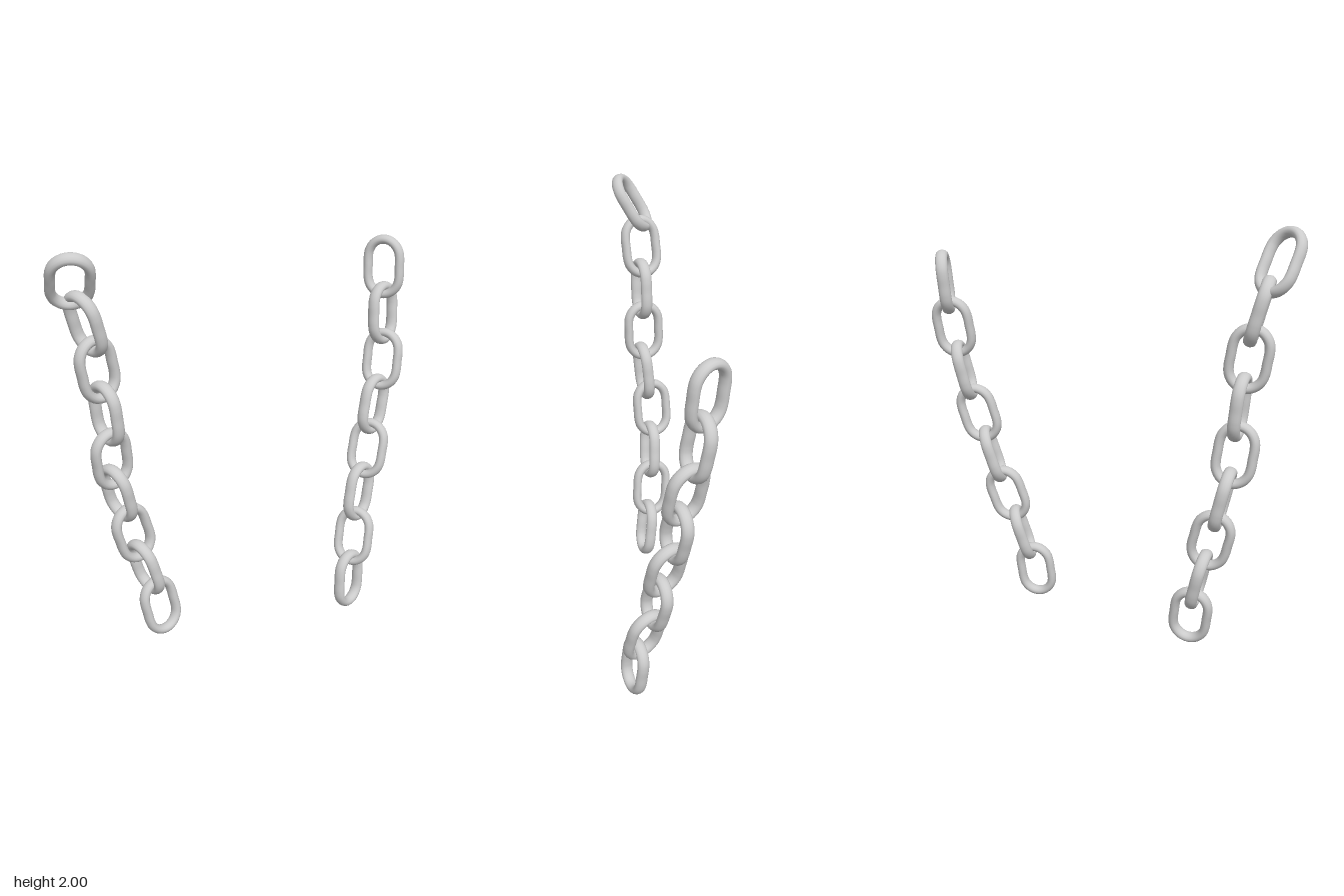
import * as THREE from 'three';

const HALF_WIDTH = 0.076;  // centre-line half width of a link
const END = 0.084;         // height of each rounded end
const STRAIGHT = 0.044;    // half length of the straight sides
const WIRE = 0.021;        // wire radius in the plane of the link
const FLATTEN = 1.3;       // wire is a little thicker across the link

// One oval link, long along y, lying in the xy plane
function linkGeometry() {
  const points = [];
  for (const side of [1, -1]) {
    for (let i = 0; i <= 8; i++) {
      const a = Math.PI * i / 8;
      points.push(new THREE.Vector3(
        side * HALF_WIDTH * Math.cos(a), side * (END * Math.sin(a) + STRAIGHT), 0));
    }
    // Middle of the straight side keeps it straight
    points.push(new THREE.Vector3(-side * HALF_WIDTH, 0, 0));
  }
  const oval = new THREE.CatmullRomCurve3(points, true, 'centripetal');
  return new THREE.TubeGeometry(oval, 64, WIRE, 14, true).scale(1, 1, FLATTEN);
}

// Links follow the chain direction; each row is [x, y, z, widthX, widthZ].
// The direction of the first and last link is given, the others follow their neighbours.
function makeChain(name, rows, firstAxis, lastAxis, geometry, material) {
  const chain = new THREE.Group();
  chain.name = name;
  const centres = rows.map(([x, y, z]) => new THREE.Vector3(x, y, z));
  rows.forEach(([, , , wx, wz], i) => {
    let down;
    if (i === 0) down = new THREE.Vector3(...firstAxis);
    else if (i === rows.length - 1) down = new THREE.Vector3(...lastAxis);
    else down = centres[i + 1].clone().sub(centres[i - 1]);
    const up = down.normalize().negate();
    const width = new THREE.Vector3(wx, 0, wz);
    width.addScaledVector(up, -width.dot(up)).normalize();
    const normal = new THREE.Vector3().crossVectors(width, up);

    const link = new THREE.Mesh(geometry, material);
    link.name = 'link' + (i + 1);
    link.quaternion.setFromRotationMatrix(new THREE.Matrix4().makeBasis(width, up, normal));
    link.position.copy(centres[i]);
    chain.add(link);
  });
  return chain;
}

export function createModel() {
  const model = new THREE.Group();
  model.name = 'hangingChains';
  const material = new THREE.MeshStandardMaterial({ color: 0xcccccc });
  const geometry = linkGeometry();

  // Right chain, top to bottom
  model.add(makeChain('rightChain', [
    [-0.783, 1.865, 0.012, 0.95, 0.35],
    [-0.72, 1.67, -0.023, 0.3, 0.95],
    [-0.683, 1.47, -0.02, 0.97, -0.22],
    [-0.655, 1.263, -0.027, 0.2, 0.97],
    [-0.643, 1.05, -0.025, 0.97, -0.2],
    [-0.61, 0.855, -0.062, 0.25, 0.97],
    [-0.555, 0.645, -0.045, 0.97, -0.2],
    [-0.505, 0.445, -0.047, 0.22, 0.97],
    [-0.453, 0.237, -0.015, 0.98, -0.18],
  ], [0.12, -0.86, -0.5], [0.17, -1, 0.12], geometry, material));

  // Left chain, top to bottom
  model.add(makeChain('leftChain', [
    [0.80, 1.64, -0.10, 0.55, 0.83],
    [0.788, 1.425, -0.07, 0.93, -0.33],
    [0.77, 1.208, -0.03, 0.48, 0.86],
    [0.713, 0.995, -0.005, 0.94, -0.33],
    [0.665, 0.783, 0.03, 0.5, 0.84],
    [0.605, 0.575, 0.06, 0.94, -0.33],
    [0.553, 0.36, 0.105, 0.5, 0.84],
    [0.505, 0.15, 0.145, 0.94, -0.33],
  ], [-0.03, -1, 0.1], [-0.08, -1, 0.11], geometry, material));

  return model;
}
